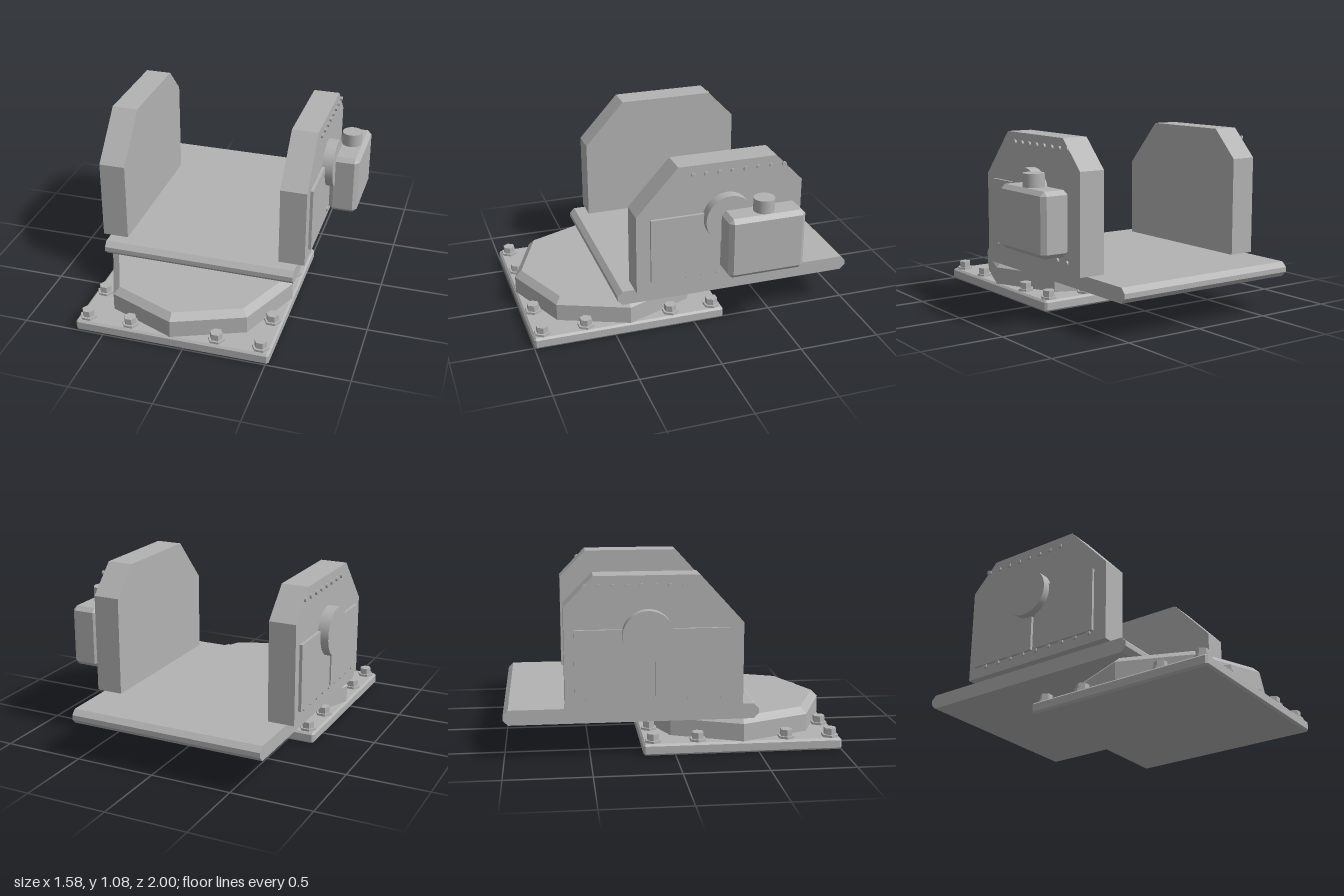
import * as THREE from 'three';
import { ConvexGeometry } from 'three/addons/geometries/ConvexGeometry.js';

const grey = new THREE.MeshStandardMaterial({ color: 0xb3b3b3 });
grey.name = 'machine grey';

function add(parent, name, geometry, x = 0, y = 0, z = 0) {
  const mesh = new THREE.Mesh(geometry, grey);
  mesh.name = name;
  mesh.position.set(x, y, z);
  parent.add(mesh);
  return mesh;
}

// Box with every edge cut at 45 degrees
function chamferedBox(w, h, d, c) {
  const points = [];
  for (const sx of [-1, 1]) for (const sy of [-1, 1]) for (const sz of [-1, 1]) {
    const x = sx * w / 2, y = sy * h / 2, z = sz * d / 2;
    points.push(
      new THREE.Vector3(x, y - sy * c, z - sz * c),
      new THREE.Vector3(x - sx * c, y, z - sz * c),
      new THREE.Vector3(x - sx * c, y - sy * c, z));
  }
  return new ConvexGeometry(points);
}

// Prism with flat sides
function prism(top, bottom, height, sides) {
  const g = new THREE.CylinderGeometry(top, bottom, height, sides).toNonIndexed();
  g.computeVertexNormals();
  return g;
}

// Side profile given as [z, y], extruded from x0 to x1
function sideExtrude(profile, x0, x1) {
  const shape = new THREE.Shape(profile.map(([z, y]) => new THREE.Vector2(-z, y)));
  const g = new THREE.ExtrudeGeometry(shape, { depth: x1 - x0, bevelEnabled: false });
  return g.rotateY(Math.PI / 2).translate(x0, 0, 0);
}

export function createModel() {
  const model = new THREE.Group();
  model.name = 'swivelMount';
  const cx = -0.077, cz = 0.405;

  // Square base plate with an octagonal turntable
  add(model, 'basePlate', chamferedBox(1.19, 0.07, 1.19, 0.012), cx, 0.035, cz);
  add(model, 'turntable', prism(0.59, 0.59, 0.107, 8), cx, 0.1225, cz);
  add(model, 'turntableBevel', prism(0.548, 0.59, 0.04, 8), cx, 0.196, cz);

  // Hex bolts around the base plate edge
  const flange = prism(0.052, 0.052, 0.014, 6).rotateY(Math.PI / 6);
  const head = prism(0.038, 0.038, 0.05, 6).rotateY(Math.PI / 6);
  const steps = [-0.534, -0.267, 0.267, 0.534];
  for (const dx of steps) for (const dz of steps) {
    if (Math.max(Math.abs(dx), Math.abs(dz)) < 0.5) continue;
    const bolt = new THREE.Group();
    bolt.name = 'baseBolt';
    bolt.position.set(cx + dx, 0.07, cz + dz);
    add(bolt, 'boltFlange', flange, 0, 0.007, 0);
    add(bolt, 'boltHead', head, 0, 0.028, 0);
    model.add(bolt);
  }

  // Deck with bevelled front and back edges
  add(model, 'deck', sideExtrude([
    [0.46, 0.216], [0.49, 0.246], [0.49, 0.275], [0.46, 0.305],
    [-0.97, 0.305], [-1, 0.275], [-1, 0.246], [-0.97, 0.216],
  ], -0.683, 0.53));

  // Side walls, each with a pivot disc, cover panels and rivets
  const wall = sideExtrude([
    [0.385, 0.305], [0.385, 0.8], [0.13, 1.08],
    [-0.475, 1.08], [-0.645, 0.905], [-0.645, 0.305],
  ], -0.0815, 0.0815);
  const disc = new THREE.CylinderGeometry(0.148, 0.148, 0.066, 48).rotateZ(Math.PI / 2);
  const rivet = new THREE.CylinderGeometry(0.014, 0.014, 0.012, 12).rotateZ(Math.PI / 2);
  for (const side of [-1, 1]) {
    const g = new THREE.Group();
    g.name = side > 0 ? 'leftSupport' : 'rightSupport';
    g.position.x = cx + side * 0.572;
    const face = 0.0815;
    add(g, 'wall', wall);
    add(g, 'pivotDisc', disc, side * (face + 0.033), 0.74, -0.17);
    const panels = side > 0 ? [[-0.125, 0.3]] : [[-0.125, 0.3], [-0.59, -0.15]];
    for (const [z0, z1] of panels) {
      add(g, 'coverPanel', new THREE.BoxGeometry(0.018, 0.4, z1 - z0),
        side * (face + 0.009), 0.575, (z0 + z1) / 2);
    }
    for (let i = 0; i < 8; i++) {
      add(g, 'topRivet', rivet, side * (face + 0.006), 1.02, 0.04 - i * 0.0807);
    }
    for (let i = 0; i < 9; i++) {
      add(g, 'lowerRivet', rivet, side * (face + 0.006), 0.368, 0.265 - i * 0.0975);
    }
    model.add(g);
  }

  // Drive motor on the left support
  const motor = new THREE.Group();
  motor.name = 'driveMotor';
  add(motor, 'motorHousing', chamferedBox(0.18, 0.38, 0.475, 0.026), 0.697, 0.61, -0.353);
  add(motor, 'motorCap', new THREE.CylinderGeometry(0.063, 0.063, 0.09, 32), 0.697, 0.835, -0.355);
  model.add(motor);

  return model;
}
